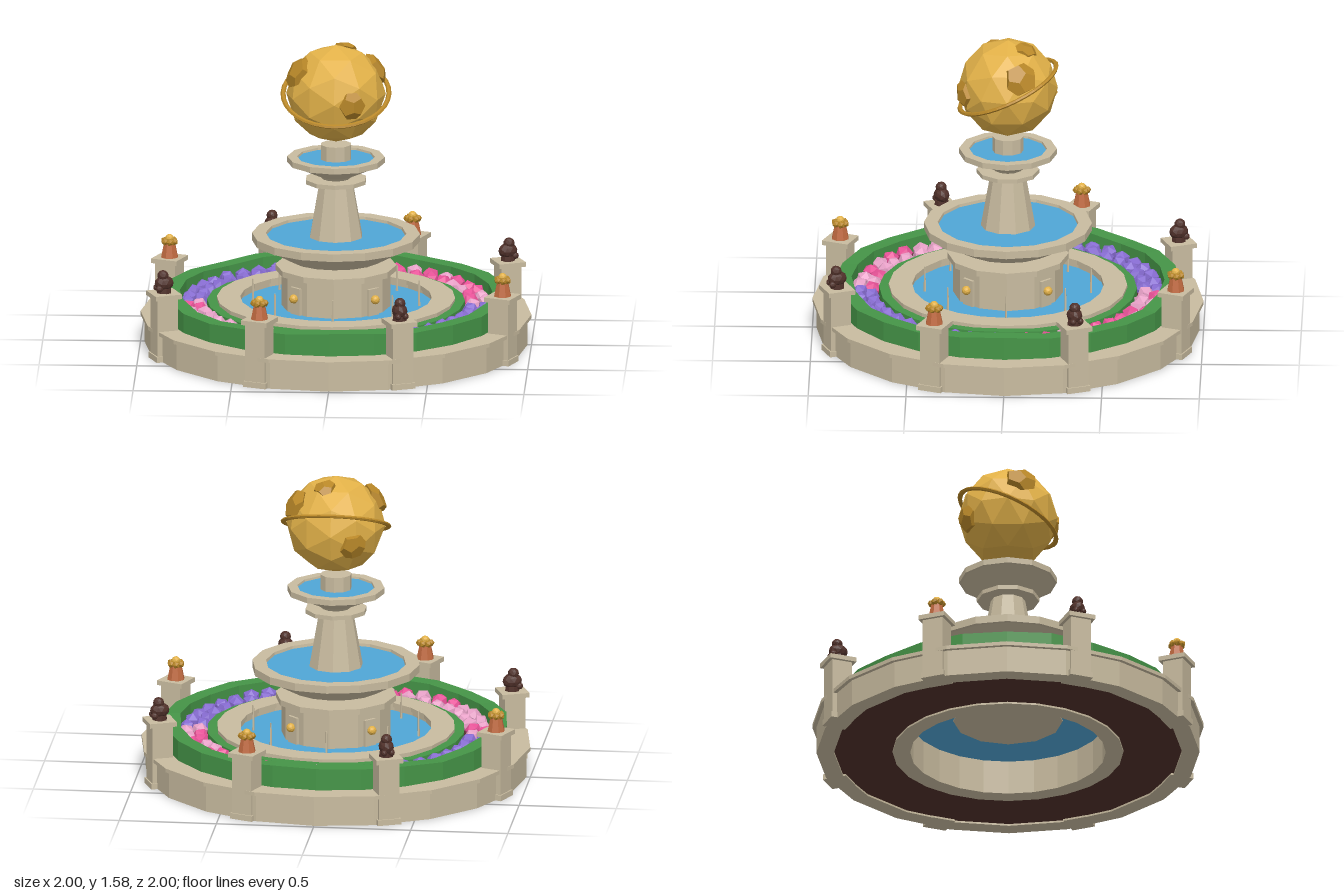
import * as THREE from 'three';

const mat = (name, color) => {
  const m = new THREE.MeshStandardMaterial({ color, flatShading: true });
  m.name = name;
  return m;
};

export function createModel() {
  const M = {
    stone: mat('stone', 0xc8bb9f),
    hedge: mat('hedge green', 0x459447),
    soil: mat('dark brown', 0x50312a),
    water: mat('water blue', 0x50a6d6),
    purple: mat('violet', 0x866bd0),
    pink: mat('hot pink', 0xe85298),
    blush: mat('pale pink', 0xe6a0c6),
    gold: mat('gold', 0xe2b148),
    oldGold: mat('old gold', 0xb88728),
    clay: mat('terracotta', 0xc06a40),
  };
  const model = new THREE.Group();
  model.name = 'gardenFountain';

  const add = (name, geo, material, pos = [0, 0, 0], parent = model) => {
    const mesh = new THREE.Mesh(geo, material);
    mesh.name = name;
    mesh.position.set(...pos);
    parent.add(mesh);
    return mesh;
  };
  const lathe = (pts, sides) =>
    new THREE.LatheGeometry(pts.map(([r, y]) => new THREE.Vector2(r, y)), sides);
  // closed ring with a rectangular section
  const ring = (ri, ro, y0, y1, sides = 20) =>
    lathe([[ro, y0], [ro, y1], [ri, y1], [ri, y0], [ro, y0]], sides);
  // solid drum or cone standing from y0 to y1
  const drum = (name, rBottom, rTop, y0, y1, sides, material = M.stone) =>
    add(name, new THREE.CylinderGeometry(rTop, rBottom, y1 - y0, sides), material, [0, (y0 + y1) / 2, 0]);
  let seed = 7;
  const rand = () => (seed = (seed * 16807) % 2147483647) / 2147483647;

  // outer wall, soil bed (stepped to stay inside the hedge) and pool wall
  add('outerWall', ring(0.89, 0.98, 0, 0.14), M.stone);
  add('outerWallCap', ring(0.85, 1.0, 0.14, 0.16), M.stone);
  add('soilBed', lathe([[0.895, 0.01], [0.895, 0.12], [0.82, 0.12], [0.82, 0.18], [0.58, 0.18],
    [0.58, 0.01], [0.895, 0.01]], 20), M.soil);
  add('poolWall', ring(0.5, 0.59, 0, 0.22, 24), M.stone);
  add('poolRim', ring(0.49, 0.61, 0.22, 0.243, 24), M.stone);
  drum('poolWater', 0.5, 0.5, 0.18, 0.2, 24, M.water);

  // hedges with uneven tops
  const hedge = (name, ri, ro, top, wave) => {
    const geo = ring(ri, ro, 0.1, top, 24);
    const p = geo.attributes.position;
    for (let i = 0; i < p.count; i++) {
      if (p.getY(i) < top - 0.01) continue;
      const a = Math.atan2(p.getX(i), p.getZ(i));
      p.setY(i, top + wave * (Math.sin(a * 4 + 1.6) + 0.6 * Math.sin(a * 9 + 0.5)));
    }
    add(name, geo, M.hedge);
  };
  hedge('outerHedge', 0.8, 0.88, 0.267, 0.008);
  hedge('innerHedge', 0.605, 0.66, 0.225, 0.003);

  // flower bed: two staggered rows, colours change by quarter
  const flowers = new THREE.Group();
  flowers.name = 'flowers';
  model.add(flowers);
  const bloom = new THREE.IcosahedronGeometry(0.046, 0);
  const count = 92;
  for (let i = 0; i < count; i++) {
    const a = ((i + 0.5) / count) * Math.PI * 2;
    const r = (i % 2 ? 0.7 : 0.762) + (rand() - 0.5) * 0.012;
    const x = r * Math.sin(a), z = r * Math.cos(a);
    const m = x * z > 0 ? M.purple : rand() < 0.5 ? M.pink : M.blush;
    const f = add('flower', bloom, m, [x, 0.192 + rand() * 0.01, z], flowers);
    f.rotation.set(rand() * 3, rand() * 6, 0);
  }

  // central pedestal
  drum('pedestalDrum', 0.28, 0.28, 0.175, 0.385, 12);
  drum('pedestalCap', 0.31, 0.31, 0.385, 0.415, 12);

  // bowls: underside, rim band, inside wall, floor
  add('lowerBowl', lathe([[0, 0.445], [0.235, 0.445], [0.41, 0.54], [0.43, 0.54], [0.43, 0.58],
    [0.36, 0.58], [0.355, 0.545], [0, 0.545]], 16), M.stone);
  drum('lowerBowlWater', 0.355, 0.358, 0.55, 0.565, 16, M.water);
  drum('column', 0.142, 0.088, 0.55, 0.855, 10);
  drum('columnCap', 0.16, 0.16, 0.85, 0.872, 10);
  add('upperBowl', lathe([[0, 0.87], [0.07, 0.87], [0.085, 0.885], [0.235, 0.955], [0.25, 0.955],
    [0.25, 0.985], [0.2, 0.985], [0.195, 0.955], [0, 0.955]], 12), M.stone);
  drum('upperBowlWater', 0.195, 0.198, 0.96, 0.974, 12, M.water);
  drum('globeStand', 0.08, 0.08, 0.955, 1.052, 10);

  // spouts on the pedestal
  for (let i = 0; i < 4; i++) {
    const g = new THREE.Group();
    g.name = 'spout';
    g.rotation.y = Math.PI / 4 + (i * Math.PI) / 2;
    model.add(g);
    add('spoutPlate', new THREE.BoxGeometry(0.07, 0.14, 0.03), M.stone, [0, 0.27, 0.27], g);
    add('spoutKnob', new THREE.IcosahedronGeometry(0.024, 1), M.gold, [0, 0.285, 0.295], g);
  }
  // thin pipes standing in the pool
  const pipe = new THREE.CylinderGeometry(0.004, 0.007, 0.14, 5);
  for (let i = 0; i < 8; i++) {
    const a = (i * Math.PI) / 4;
    add('poolPipe', pipe, M.stone, [0.425 * Math.sin(a), 0.265, 0.425 * Math.cos(a)]);
  }

  // globe with raised patches and a tilted ring
  const globe = new THREE.Group();
  globe.name = 'globe';
  globe.position.y = 1.32;
  model.add(globe);
  add('globeBall', new THREE.IcosahedronGeometry(0.255, 1), M.gold, [0, 0, 0], globe);
  const patches = [[0.095, -0.01, 0.235, 0.074], [-0.2, 0.13, 0.07, 0.088], [0.215, 0.125, -0.075, 0.088],
    [0.05, 0.23, -0.1, 0.06], [-0.117, -0.06, -0.216, 0.072]];
  for (const [x, y, z, size] of patches) {
    const dir = new THREE.Vector3(x, y, z).setLength(0.24);
    const patch = add('globePatch', new THREE.DodecahedronGeometry(size, 0), M.oldGold, dir.toArray(), globe);
    patch.quaternion.setFromUnitVectors(new THREE.Vector3(0, 0, 1), dir.clone().normalize());
    patch.scale.z = 0.48;
  }
  const band = add('globeRing', new THREE.TorusGeometry(0.271, 0.013, 6, 32), M.oldGold, [0, 0, 0], globe);
  band.rotation.x = Math.PI / 2 + 0.43;
  band.scale.z = 0.75;

  // posts, alternating flower pots and small seated statues
  for (let i = 0; i < 8; i++) {
    const g = new THREE.Group();
    g.name = 'post';
    const a = ((i + 0.5) * Math.PI) / 4;
    g.position.set(0.937 * Math.sin(a), 0, 0.937 * Math.cos(a));
    g.rotation.y = a;
    model.add(g);
    const box = (name, w, y0, y1) =>
      add(name, new THREE.BoxGeometry(w, y1 - y0, w), M.stone, [0, (y0 + y1) / 2, 0], g);
    box('postBase', 0.125, 0, 0.03);
    box('postShaft', 0.11, 0.03, 0.33);
    box('postCap', 0.143, 0.328, 0.352);
    const blob = (name, material, r, pos, scale = [1, 1, 1], detail = 1) =>
      add(name, new THREE.IcosahedronGeometry(r, detail), material, pos, g).scale.set(...scale);
    if (i % 2) {
      add('potBody', new THREE.CylinderGeometry(0.03, 0.046, 0.075, 8), M.clay, [0, 0.389, 0], g);
      for (let k = 0; k < 6; k++) {
        const b = (k * Math.PI) / 3;
        blob('potFruit', M.oldGold, 0.02, [0.028 * Math.sin(b), 0.435, 0.028 * Math.cos(b)], [1, 1, 1], 0);
      }
      blob('potTop', M.gold, 0.022, [0, 0.451, 0]);
    } else {
      add('statueFoot', new THREE.CylinderGeometry(0.036, 0.038, 0.025, 8), M.soil, [0, 0.364, 0], g);
      blob('statueBody', M.soil, 0.042, [0, 0.402, 0], [0.92, 0.95, 1.22]);
      blob('statueHead', M.soil, 0.029, [0, 0.442, 0.006]);
      for (const s of [-1, 1]) blob('statueLeg', M.soil, 0.018, [s * 0.02, 0.378, 0.032], [0.9, 1, 1.1]);
    }
  }
  return model;
}
